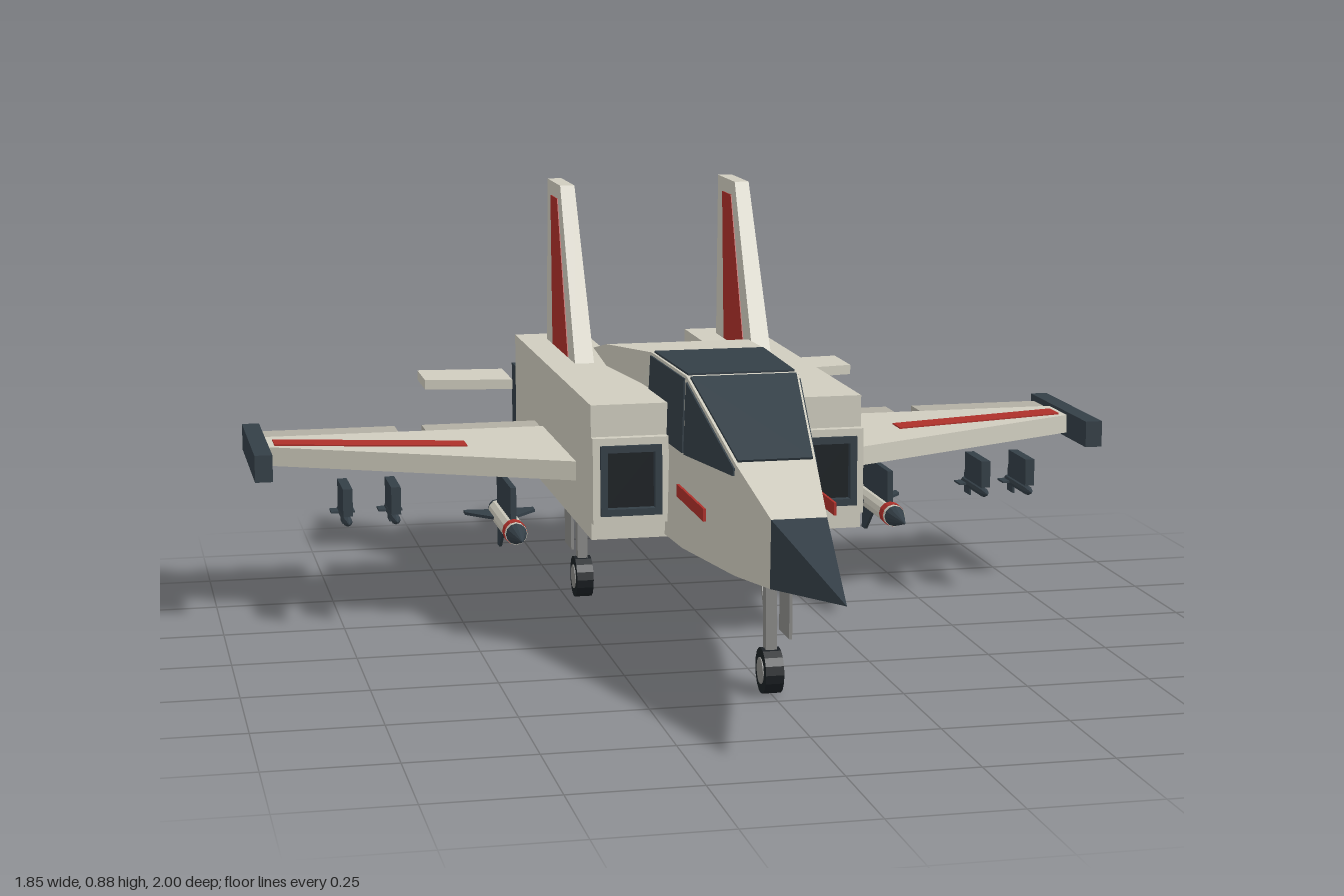
import * as THREE from 'three';
import { ConvexGeometry } from 'three/addons/geometries/ConvexGeometry.js';

const mat = (color) => new THREE.MeshStandardMaterial({ color, flatShading: true });
const BEIGE = mat(0xd0cdbf), FLAP = mat(0xb2afa3), DARK = mat(0x343f47), BLACK = mat(0x1b2024);
const RED = mat(0xae302a), GREY = mat(0x8a8a88);
const V = (x, y, z) => new THREE.Vector3(x, y, z);

export function createModel() {
  const root = new THREE.Group();
  root.name = 'jetAircraft';

  const add = (name, geometry, material, parent = root) => {
    const mesh = new THREE.Mesh(geometry, material);
    mesh.name = name;
    parent.add(mesh);
    return mesh;
  };
  // box given by its limits on each axis
  const box = (name, material, [x0, x1], [y0, y1], [z0, z1], parent) => {
    const g = new THREE.BoxGeometry(Math.abs(x1 - x0), y1 - y0, Math.abs(z1 - z0));
    g.translate((x0 + x1) / 2, (y0 + y1) / 2, (z0 + z1) / 2);
    return add(name, g, material, parent);
  };
  // flat polygon thickened both ways along an offset
  const slab = (name, material, pts, [dx, dy, dz], parent) => add(name, new ConvexGeometry(
    pts.flatMap(([x, y, z]) => [V(x + dx, y + dy, z + dz), V(x - dx, y - dy, z - dz)])), material, parent);
  // cylinder lying along z, from the front radius to the back radius
  const rod = (name, material, rFront, rBack, zFront, zBack, x, y, parent, sides = 12) => {
    const g = new THREE.CylinderGeometry(rFront, rBack, zFront - zBack, sides);
    g.rotateX(Math.PI / 2).translate(x, y, (zFront + zBack) / 2);
    return add(name, g, material, parent);
  };
  // rectangular frame with an opening, extruded along z
  const frame = (name, material, [x0, x1], [y0, y1], rim, z, depth, parent) => {
    const rect = (T, r) => new T([[x0 + r, y0 + r], [x1 - r, y0 + r], [x1 - r, y1 - r], [x0 + r, y1 - r]]
      .map(([x, y]) => new THREE.Vector2(x, y)));
    const shape = rect(THREE.Shape, 0);
    shape.holes.push(rect(THREE.Path, rim));
    const g = new THREE.ExtrudeGeometry(shape, { depth, bevelEnabled: false });
    return add(name, g.translate(0, 0, z), material, parent);
  };

  // fuselage: z, bottom, top, half width at bottom, half width at top
  const sections = [
    [0.66, 0.26, 0.39, 0.055, 0.053], [0.48, 0.245, 0.46, 0.08, 0.078],
    [0.2, 0.24, 0.585, 0.122, 0.113], [-0.11, 0.24, 0.585, 0.14, 0.12],
    [-0.42, 0.24, 0.557, 0.16, 0.157], [-0.95, 0.25, 0.46, 0.122, 0.12]];
  const rings = sections.map(([z, yb, yt, wb, wt]) =>
    [[-wb, yb, z], [wb, yb, z], [wt, yt, z], [-wt, yt, z]]);
  const pos = [];
  const quad = (a, b, c, d) => pos.push(...a, ...b, ...c, ...a, ...c, ...d);
  for (let i = 0; i < rings.length - 1; i++) {
    for (let k = 0; k < 4; k++) {
      const n = (k + 1) % 4;
      quad(rings[i][k], rings[i + 1][k], rings[i + 1][n], rings[i][n]);
    }
  }
  quad(...rings[0]);
  quad(...[...rings[rings.length - 1]].reverse());
  const hull = new THREE.BufferGeometry();
  hull.setAttribute('position', new THREE.Float32BufferAttribute(pos, 3));
  hull.computeVertexNormals();
  add('fuselage', hull, BEIGE);
  add('noseCone', new ConvexGeometry([...rings[0].map((p) => V(...p)), V(0, 0.305, 1)]), DARK);

  // canopy glass
  slab('windscreen', DARK, [[-0.073, 0.463, 0.474], [0.073, 0.463, 0.474],
    [0.107, 0.582, 0.208], [-0.107, 0.582, 0.208]], [0, 0.004, 0.002]);
  slab('canopyTop', DARK, [[-0.108, 0.585, 0.192], [0.108, 0.585, 0.192],
    [0.115, 0.585, -0.105], [-0.115, 0.585, -0.105]], [0, 0.004, 0]);

  // landing gear leg with wheel, strut, door and brace
  const gear = (name, x, z, s, doorX) => {
    const g = new THREE.Group();
    g.name = name;
    root.add(g);
    const wheel = (part, m, r, w) => add(part, new THREE.CylinderGeometry(r, r, w, 16)
      .rotateZ(Math.PI / 2).translate(x, 0.045, z), m, g);
    wheel('tyre', BLACK, 0.045, 0.036);
    wheel('hub', GREY, 0.026, 0.04);
    box('strut', GREY, [x - 0.011, x + 0.011], [0.06, 0.26], [z - 0.012, z + 0.012], g);
    box('door', GREY, [doorX - 0.003, doorX + 0.003], [0.115, 0.25], [z - 0.035, z + 0.045], g);
    slab('brace', GREY, [[x, 0.14, z - 0.02], [x, 0.155, z - 0.02],
      [x, 0.25, z - 0.08], [x, 0.25, z - 0.068]], [0.006, 0, 0], g);
  };
  gear('noseGear', 0, 0.435, 1, 0.03);

  for (const s of [1, -1]) {
    const side = s > 0 ? 'left' : 'right';
    const X = (a, b) => (s > 0 ? [a, b] : [-b, -a]);
    const P = (pts) => pts.map(([x, y, z]) => [s * x, y, z]);

    slab(side + 'FrontCanopyGlass', DARK, P([[0.079, 0.452, 0.475], [0.08, 0.437, 0.475],
      [0.118, 0.43, 0.207], [0.113, 0.574, 0.207]]), [0.003, 0, 0]);
    slab(side + 'RearCanopyGlass', DARK, P([[0.118, 0.43, 0.192], [0.1135, 0.579, 0.192],
      [0.121, 0.579, -0.105], [0.129, 0.43, -0.105]]), [0.003, 0, 0]);
    box(side + 'NoseStripe', RED, X(0.126, 0.131), [0.343, 0.368], [0.19, 0.435]);

    // engine pod with intake and nozzle
    box(side + 'EnginePod', BEIGE, X(0.12, 0.28), [0.235, 0.51], [-0.91, 0.065]);
    frame(side + 'IntakeFrame', BEIGE, X(0.125, 0.28), [0.27, 0.445], 0.018, 0.065, 0.02);
    frame(side + 'IntakeLip', DARK, X(0.14, 0.265), [0.287, 0.43], 0.014, 0.065, 0.028);
    box(side + 'IntakeOpening', BLACK, X(0.15, 0.255), [0.295, 0.42], [0.06, 0.075]);
    frame(side + 'Nozzle', DARK, X(0.122, 0.275), [0.285, 0.43], 0.025, -1, 0.09);
    box(side + 'NozzleOpening', BLACK, X(0.14, 0.257), [0.3, 0.415], [-0.97, -0.92]);

    // wing, tip rail, flaps
    slab(side + 'Wing', BEIGE, P([[0.27, 0.343, -0.105], [0.89, 0.343, -0.41],
      [0.89, 0.343, -0.53], [0.27, 0.343, -0.53]]), [0, 0.02, 0]);
    slab(side + 'WingStripe', RED, P([[0.475, 0.363, -0.38], [0.475, 0.363, -0.322],
      [0.873, 0.363, -0.42], [0.873, 0.363, -0.482]]), [0, 0.003, 0]);
    box(side + 'WingTipRail', DARK, X(0.888, 0.925), [0.313, 0.37], [-0.66, -0.28]);
    box(side + 'HingeStrip', DARK, X(0.28, 0.89), [0.328, 0.352], [-0.542, -0.528]);
    for (const [a, b] of [[0.28, 0.533], [0.593, 0.888]]) {
      box(side + 'Flap', FLAP, X(a, b), [0.328, 0.356], [-0.64, -0.54]);
    }

    // tail surfaces
    const cx = 0.198;
    add(side + 'Fin', new ConvexGeometry([[-0.455, 0.5, 0.021], [-0.83, 0.5, 0.021],
      [-0.66, 0.877, 0.016], [-0.83, 0.877, 0.016]].flatMap(([z, y, w]) =>
      [V(s * (cx - w), y, z), V(s * (cx + w), y, z)])), BEIGE);
    for (const t of [1, -1]) {
      slab(side + 'FinStripe', RED, P([[cx + t * 0.021, 0.512, -0.542], [cx + t * 0.0165, 0.845, -0.69],
        [cx + t * 0.0165, 0.845, -0.777], [cx + t * 0.021, 0.512, -0.742]]), [0.002, 0, 0]);
    }
    slab(side + 'Tailplane', BEIGE, P([[0.305, 0.413, -0.955], [0.5, 0.413, -0.975],
      [0.5, 0.413, -0.832], [0.305, 0.413, -0.797]]), [0, 0.011, 0]);

    // large missile
    const mx = s * 0.405, my = 0.215;
    const missile = new THREE.Group();
    missile.name = side + 'Missile';
    root.add(missile);
    rod('missileNose', DARK, 0.001, 0.022, -0.035, -0.115, mx, my, missile);
    rod('missileBody', BEIGE, 0.023, 0.023, -0.115, -0.36, mx, my, missile);
    rod('missileBand', RED, 0.0245, 0.0245, -0.125, -0.15, mx, my, missile);
    rod('missileTail', DARK, 0.023, 0.018, -0.36, -0.39, mx, my, missile);
    box('missilePylon', DARK, [mx - 0.006, mx + 0.006], [0.23, 0.305], [-0.34, -0.15], missile);
    for (let k = 0; k < 4; k++) {
      const c = Math.round(Math.cos(k * Math.PI / 2)), d = Math.round(Math.sin(k * Math.PI / 2));
      slab('missileFin', DARK, [[0.015, -0.27], [0.075, -0.34], [0.075, -0.365], [0.015, -0.36]]
        .map(([r, z]) => [mx + c * r, my + d * r, z]), [0.003 * Math.abs(d), 0.003 * Math.abs(c), 0], missile);
    }

    // small stores
    for (const x of [0.64, 0.74]) {
      const store = new THREE.Group();
      store.name = side + 'SmallStore';
      root.add(store);
      const bx = s * x, by = 0.232;
      box('storePylon', DARK, [bx - 0.01, bx + 0.01], [0.245, 0.303], [-0.34, -0.22], store);
      rod('storeBody', DARK, 0.01, 0.01, -0.23, -0.37, bx, by, store, 8);
      rod('storeNose', DARK, 0.001, 0.01, -0.205, -0.23, bx, by, store, 8);
      box('storeFinFlat', DARK, [bx - 0.025, bx + 0.025], [by - 0.002, by + 0.002], [-0.37, -0.33], store);
      box('storeFinUpright', DARK, [bx - 0.002, bx + 0.002], [by - 0.025, by + 0.025], [-0.37, -0.33], store);
    }

    gear(side + 'MainGear', s * 0.213, -0.43, s, s * 0.241);
  }
  return root;
}
